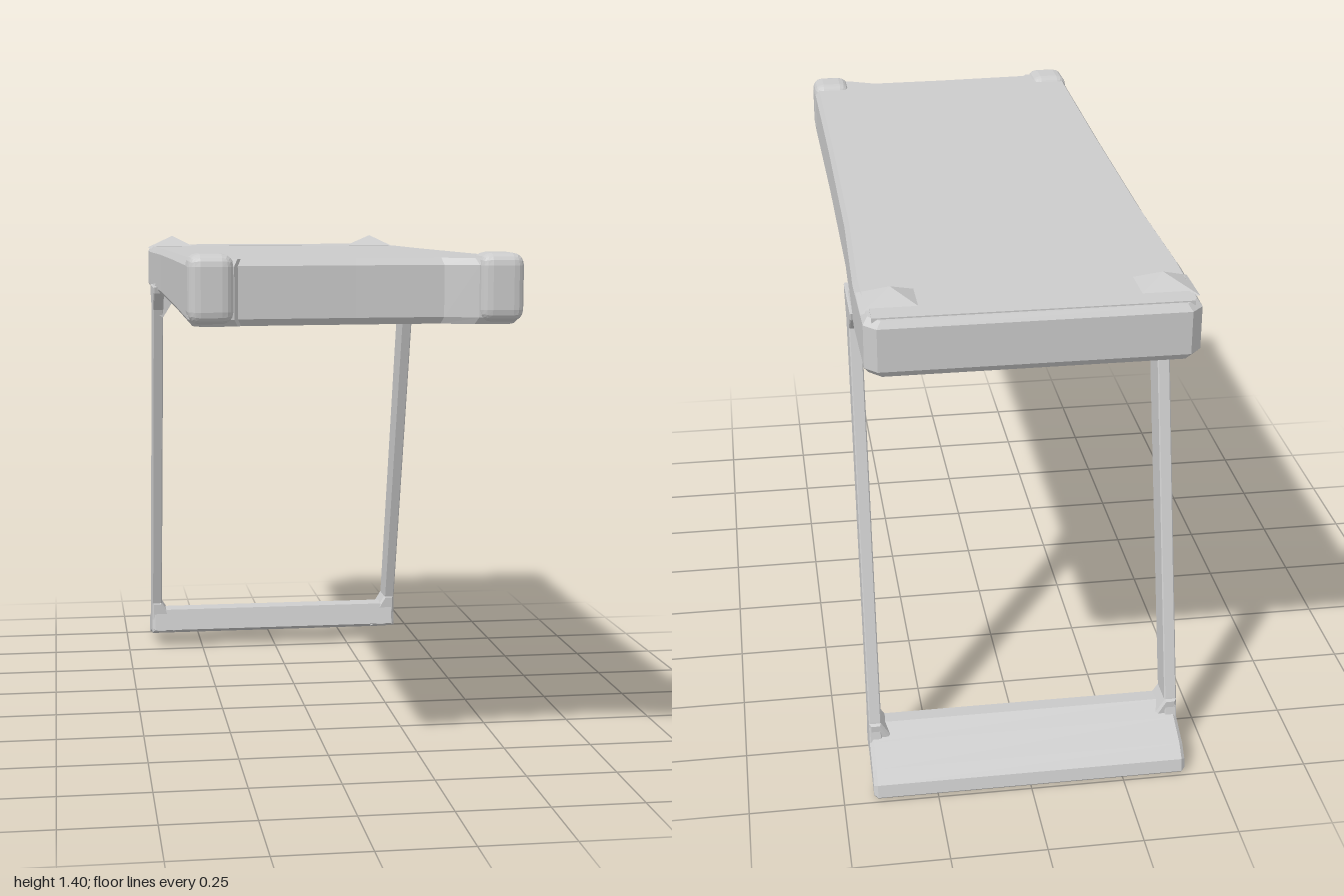
import * as THREE from 'three';
import { RoundedBoxGeometry } from 'three/addons/geometries/RoundedBoxGeometry.js';

const mat = new THREE.MeshStandardMaterial({ color: 0xcccccc, flatShading: true });

function add(group, name, geo) {
  const mesh = new THREE.Mesh(geo, mat);
  mesh.name = name;
  group.add(mesh);
}

function extrude(points, depth, bevel = 0) {
  const shape = new THREE.Shape(points.map(([a, b]) => new THREE.Vector2(a, b)));
  return new THREE.ExtrudeGeometry(shape, {
    depth: depth - 2 * bevel, bevelEnabled: bevel > 0, bevelThickness: bevel,
    bevelSize: bevel, bevelOffset: -bevel, bevelSegments: 1,
  }).translate(0, 0, bevel);
}

// Side profile given as [z, y], spanning x0..x1
const sideExtrude = (points, x0, x1, bevel) =>
  extrude(points, x1 - x0, bevel).rotateY(-Math.PI / 2).translate(x1, 0, 0);

// Tray body: one plan outline lofted through inset rings, hollow underneath
function trayGeometry() {
  const plan = [
    [0.41, 0.94], [0.39, 0.97], [0.3, 0.97], [0.22, 0.935], [0, 0.94], [-0.29, 0.955],
    [-0.3, 0.97], [-0.39, 0.97], [-0.41, 0.94], [-0.405, 0.3], [-0.405, -0.3], [-0.415, -0.7],
    [-0.41, -0.94], [-0.38, -0.97], [0.38, -0.97], [0.41, -0.94], [0.415, -0.7],
    [0.405, -0.3], [0.405, 0.3],
  ];
  // [x inset, z inset, y] from the recessed underside to the top
  const rings = [
    [0.41, 0.97, 1.27], [0.05, 0.16, 1.27], [0.042, 0.05, 1.235], [0.012, 0.012, 1.228],
    [0, 0, 1.245], [0, 0, 1.36], [0.012, 0.012, 1.377], [0.41, 0.97, 1.377],
  ];
  const n = plan.length, pos = [], idx = [];
  for (const [ix, iz, y] of rings) {
    for (const [px, pz] of plan) {
      const x = px * (1 - ix / 0.41), z = pz * (1 - iz / 0.97);
      // Top rises gently to the front, rim dips a little at the back
      const lift = y > 1.3 ? 0.013 * z : y < 1.25 ? Math.min(0, 0.02 * (z + 0.55)) : 0;
      pos.push(x, y + lift, z);
    }
  }
  for (let r = 0; r < rings.length - 1; r++) {
    for (let i = 0; i < n; i++) {
      const a = r * n + i, b = r * n + (i + 1) % n;
      idx.push(a, a + n, b, b, a + n, b + n);
    }
  }
  const geo = new THREE.BufferGeometry();
  geo.setAttribute('position', new THREE.Float32BufferAttribute(pos, 3));
  geo.setIndex(idx);
  geo.computeVertexNormals();
  return geo;
}

export function createModel() {
  const model = new THREE.Group();
  model.name = 'standWithTray';

  add(model, 'tray', trayGeometry());

  // Shallow band across the back of the top
  add(model, 'backBand', new THREE.BoxGeometry(0.78, 0.012, 0.18).translate(0, 1.362, -0.86));

  for (const s of [-1, 1]) {
    const side = new THREE.Group();
    side.name = s > 0 ? 'leftSide' : 'rightSide';
    model.add(side);
    const span = (a, b) => (s > 0 ? [a, b] : [-b, -a]);

    // Padded front corner
    add(side, 'cornerGuard',
      new RoundedBoxGeometry(0.112, 0.168, 0.13, 2, 0.03).translate(s * 0.356, 1.318, 0.925));

    // Low pyramid near the back corner
    add(side, 'backBump', new THREE.ConeGeometry(0.1, 0.04, 4).rotateY(Math.PI / 4)
      .scale(1.1, 1, 0.95).translate(s * 0.335, 1.38, -0.835));

    // Slanted leg, flared where it meets the tray
    const leg = [[-0.43, 1.25], [-0.435, 1.23], [-0.49, 1.175], [-0.8, 0.1], [-0.88, 0.1],
      [-0.865, 0.16], [-0.585, 1.185], [-0.635, 1.23], [-0.64, 1.25]];
    add(side, 'leg', sideExtrude(leg, ...span(0.387, 0.42), 0.003));

    // Brace between leg and underside
    const brace = [[0.418, 1.17], [0.388, 1.15], [0.335, 1.235], [0.335, 1.28], [0.4, 1.28], [0.418, 1.24]];
    add(side, 'legBrace',
      extrude(brace.map(([x, y]) => [s * x, y]), 0.085).translate(0, 0, -0.58));

    // Foot block at the leg's lower end
    const block = [[0.42, 0.05], [0.34, 0.05], [0.36, 0.11], [0.388, 0.155], [0.42, 0.155]];
    add(side, 'footBlock',
      extrude(block.map(([x, y]) => [s * x, y]), 0.09, 0.006).translate(0, 0, -0.872));
  }

  // Wedge-shaped foot bar joining both legs
  const foot = [[-0.77, 0.06], [-0.785, 0.128], [-0.83, 0.132], [-0.885, 0.108], [-0.96, 0.075],
    [-0.99, 0.045], [-0.998, 0.012], [-0.985, 0], [-0.9, 0.02]];
  add(model, 'footBar', sideExtrude(foot, -0.42, 0.42, 0.01));

  return model;
}
